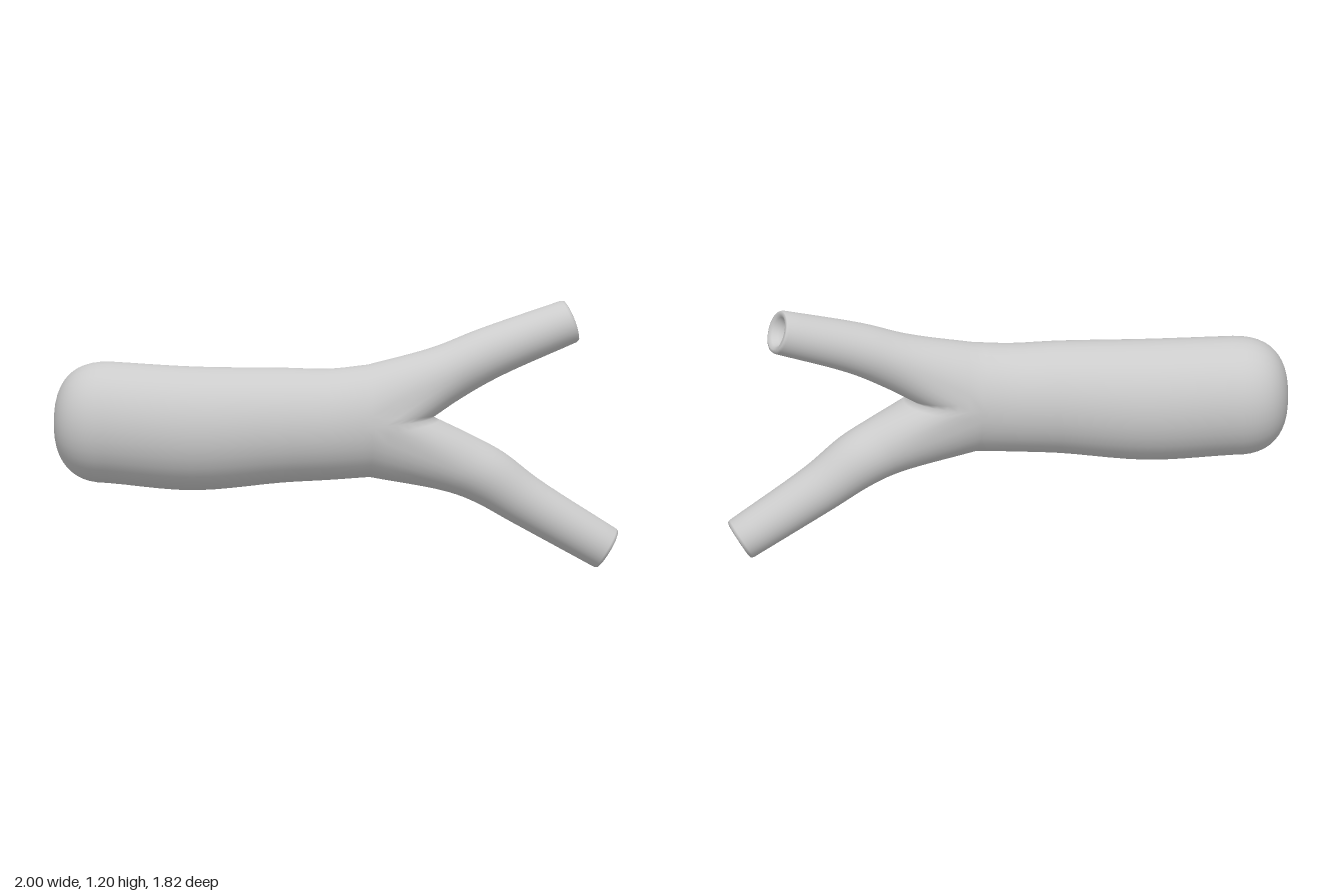
import * as THREE from 'three';
import { mergeVertices } from 'three/addons/utils/BufferGeometryUtils.js';

const N = 32; // points round every cross-section
const V = (a) => new THREE.Vector3(a[0], a[1], a[2]);
const UP = new THREE.Vector3(0, 1, 0);

// Elliptical cross-section looking along dir: index 0 is the side, N/4 the top
function ring(center, dir, halfWidth, halfHeight) {
  const side = dir.clone().cross(UP).normalize();
  const up = side.clone().cross(dir).normalize();
  return Array.from({ length: N }, (_, j) => {
    const a = (j / N) * Math.PI * 2;
    return center.clone()
      .addScaledVector(side, halfWidth * Math.cos(a))
      .addScaledVector(up, halfHeight * Math.sin(a));
  });
}

// Smoothly fills in cross-sections between the given ones
function refine(rings, steps) {
  const curves = rings[0].map((_, j) => new THREE.CatmullRomCurve3(rings.map((r) => r[j])));
  const count = (rings.length - 1) * steps;
  return Array.from({ length: count + 1 }, (_, i) => curves.map((c) => c.getPoint(i / count)));
}

// Skins a list of cross-sections, returning triangle corner positions
function skin(rings) {
  const out = [];
  for (let i = 0; i < rings.length - 1; i++) {
    for (let j = 0; j < N; j++) {
      const k = (j + 1) % N;
      const a = rings[i][j], b = rings[i][k], c = rings[i + 1][j], d = rings[i + 1][k];
      for (const p of [a, c, b, b, c, d]) out.push(p.x, p.y, p.z);
    }
  }
  return out;
}

// Body stations: x, y, z, half width, half height
const BODY = [
  [-0.74, 0.665, 0.645, 0.225, 0.275],
  [-0.42, 0.645, 0.43, 0.225, 0.28],
  [-0.1, 0.665, 0.19, 0.21, 0.26],
  [0.06, 0.67, 0.06, 0.2, 0.252],
  [0.19, 0.685, -0.06, 0.19, 0.255],
];
const FORK = V(BODY[4]);
const FORK_DIR = new THREE.Vector3(0.68, 0, -0.73).normalize();

// Branch stations: x, y, z, radius
const UPPER = [
  [0.42, 0.895, -0.33, 0.132],
  [0.54, 0.98, -0.48, 0.117],
  [0.755, 1.11, -0.78, 0.1],
];
const LOWER = [
  [0.47, 0.485, -0.36, 0.14],
  [0.56, 0.42, -0.46, 0.13],
  [0.67, 0.31, -0.58, 0.115],
  [0.92, 0.09, -0.84, 0.1],
];

function bodyRings() {
  const dirAt = (i) => {
    if (i === BODY.length - 1) return FORK_DIR;
    const d = V(BODY[i + 1]).sub(V(BODY[Math.max(i - 1, 0)]));
    d.y = 0;
    return d.normalize();
  };
  const main = refine(BODY.map((s, i) => ring(V(s), dirAt(i), s[3], s[4])), 5);
  // Blunt rounded end
  const s = BODY[0], dir = dirAt(0), dome = [];
  for (let i = 0; i < 12; i++) {
    const a = (i / 12) * Math.PI / 2;
    const scale = Math.pow(Math.sin(a), 0.8), back = 0.25 * Math.pow(Math.cos(a), 0.8);
    dome.push(ring(V(s).addScaledVector(dir, -back), dir, s[3] * scale, s[4] * scale));
  }
  return [...dome, ...main];
}

// A branch starts from one half of the fork section, closed by a saddle curve
function branchRings(stations, forkRing, keepsHalf) {
  const side = FORK_DIR.clone().cross(UP);
  const start = forkRing.map((p, j) => {
    if (keepsHalf(j)) return p;
    const a = (j / N) * Math.PI * 2;
    return FORK.clone()
      .addScaledVector(side, BODY[4][3] * Math.cos(a))
      .addScaledVector(FORK_DIR, 0.29 * Math.abs(Math.sin(a)))
      .addScaledVector(UP, 0.015 * Math.abs(Math.sin(a)));
  });
  const centers = [FORK, ...stations.map(V)];
  const dirAt = (i) => centers[Math.min(i + 1, centers.length - 1)].clone().sub(centers[i - 1]).normalize();
  const main = refine([start, ...stations.map((s, i) => ring(V(s), dirAt(i + 1), s[3], s[3]))], 6);
  // Rounded rim with a hollow in the end: radius scale, offset along the branch
  const last = stations.length, dir = dirAt(last), r = stations[last - 1][3];
  const cap = [[0.95, 0.012], [0.82, 0.016], [0.68, 0.004], [0.55, -0.02], [0.35, -0.038], [0, -0.045]];
  return [...main, ...cap.map(([k, o]) => ring(centers[last].clone().addScaledVector(dir, o), dir, r * k, r * k))];
}

export function createModel() {
  const body = bodyRings();
  const forkRing = body[body.length - 1];
  const parts = {
    body: skin(body),
    upperBranch: skin(branchRings(UPPER, forkRing, (j) => j <= N / 2)),
    lowerBranch: skin(branchRings(LOWER, forkRing, (j) => j === 0 || j >= N / 2)),
  };

  // Weld everything once so the shading runs smoothly across the fork
  const raw = new THREE.BufferGeometry();
  raw.setAttribute('position', new THREE.Float32BufferAttribute(Object.values(parts).flat(), 3));
  const welded = mergeVertices(raw, 1e-4);
  welded.computeVertexNormals();
  const index = Array.from(welded.index.array);

  const group = new THREE.Group();
  group.name = 'forkedTube';
  const material = new THREE.MeshStandardMaterial({ color: 0xcccccc });
  let offset = 0;
  for (const [name, corners] of Object.entries(parts)) {
    const count = corners.length / 3;
    const piece = welded.clone();
    piece.setIndex(index.slice(offset, offset + count));
    offset += count;
    const mesh = new THREE.Mesh(piece.toNonIndexed(), material);
    mesh.name = name;
    group.add(mesh);
  }
  return group;
}
